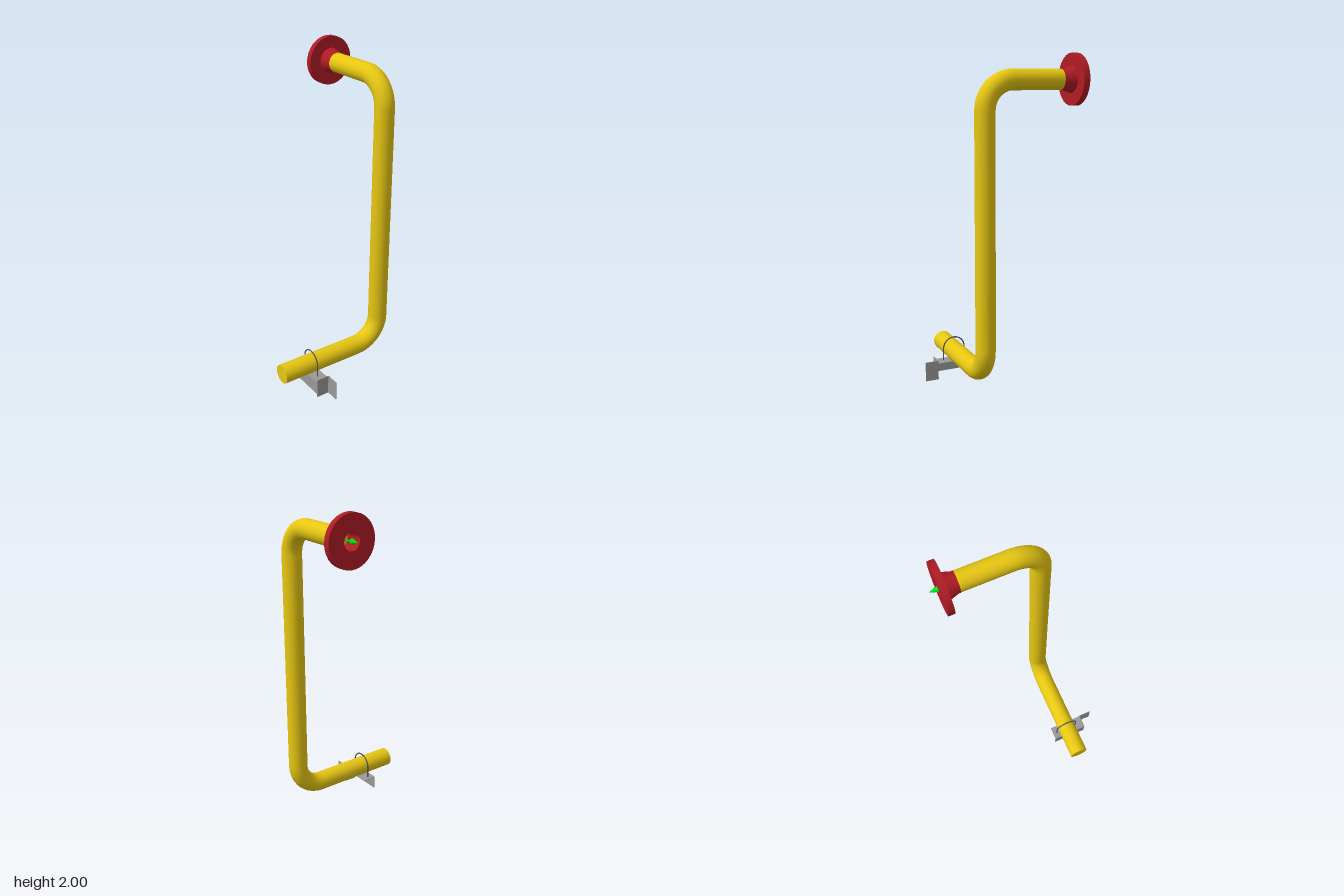
import * as THREE from 'three';
import { toCreasedNormals } from 'three/addons/utils/BufferGeometryUtils.js';

const mat = (color, extra = {}) => new THREE.MeshStandardMaterial({ color, ...extra });

export function createModel() {
  const model = new THREE.Group();
  const yellow = mat(0xe6c612), red = mat(0xb01c24), green = mat(0x00e010);
  const steel = mat(0x999999), darkSteel = mat(0x50555c);

  const add = (name, geometry, material, parent = model) => {
    const mesh = new THREE.Mesh(geometry, material);
    mesh.name = name;
    parent.add(mesh);
    return mesh;
  };

  // Pipe layout: along x, up y, then back along -z
  const r = 0.0585, R = 0.168, SIDES = 24;
  const X = 0.283, Y0 = 0.163, Y1 = 1.855, Z = 0.205;
  const X0 = -0.432, COLLAR = 0.258;

  const pipe = new THREE.Group();
  pipe.name = 'pipe';
  model.add(pipe);

  const straight = (name, from, to) => {
    const a = new THREE.Vector3(...from), b = new THREE.Vector3(...to);
    const mesh = add(name, new THREE.CylinderGeometry(r, r, a.distanceTo(b), SIDES), yellow, pipe);
    mesh.position.copy(a).lerp(b, 0.5);
    mesh.quaternion.setFromUnitVectors(new THREE.Vector3(0, 1, 0), b.sub(a).normalize());
  };
  straight('lowerPipe', [X0, Y0, Z], [X - R, Y0, Z]);
  straight('verticalPipe', [X, Y0 + R, Z], [X, Y1 - R, Z]);
  straight('upperPipe', [X, Y1, Z - R], [X, Y1, -COLLAR]);

  // Quarter-turn elbows
  const elbow = () => new THREE.TorusGeometry(R, r, SIDES, 12, Math.PI / 2);
  add('lowerElbow', elbow().rotateZ(-Math.PI / 2), yellow, pipe).position.set(X - R, Y0 + R, Z);
  add('upperElbow', elbow().rotateY(-Math.PI / 2), yellow, pipe).position.set(X, Y1 - R, Z - R);

  // Weld-neck flange with open bore
  const profile = [
    [0.05, COLLAR], [0.0592, COLLAR], [0.0592, 0.271], [0.076, 0.325],
    [0.147, 0.325], [0.147, 0.362], [0.05, 0.362], [0.05, COLLAR],
  ].map(([x, y]) => new THREE.Vector2(x, y));
  const flange = new THREE.LatheGeometry(profile, 32).rotateX(-Math.PI / 2);
  add('flange', toCreasedNormals(flange, 0.5), red).position.set(X, Y1, 0);

  // Flow direction arrow on the flange axis
  const arrow = new THREE.Group();
  arrow.name = 'flowArrow';
  arrow.position.set(X, Y1, 0);
  model.add(arrow);
  add('arrowHead', new THREE.ConeGeometry(0.017, 0.05, 12).rotateX(-Math.PI / 2), green, arrow).position.z = -0.385;
  add('arrowShaft', new THREE.CylinderGeometry(0.004, 0.004, 0.102, 8).rotateX(Math.PI / 2), green, arrow).position.z = -0.309;

  // Support: two thin angle sections
  const support = new THREE.Group();
  support.name = 'support';
  model.add(support);
  const plate = (name, x0, x1, y0, y1, z0, z1) =>
    add(name, new THREE.BoxGeometry(x1 - x0, y1 - y0, z1 - z0), steel, support)
      .position.set((x0 + x1) / 2, (y0 + y1) / 2, (z0 + z1) / 2);
  const L = -0.262, Rt = -0.178, t = 0.004;
  plate('armTop', L, Rt, 0.104 - t, 0.104, 0.108, 0.326);
  plate('armSide', L, L + t, 0.02, 0.104, 0.108, 0.326);
  plate('postFace', L, Rt, 0, 0.122, 0.326, 0.326 + t);
  plate('postSide', Rt - t, Rt, 0, 0.122, 0.326, 0.41);

  // U-bolt over the lower pipe
  const uBolt = new THREE.Group();
  uBolt.name = 'uBolt';
  uBolt.position.set(-0.223, 0.178, Z);
  model.add(uBolt);
  const boltR = 0.07, rod = 0.004;
  add('uBoltArc', new THREE.TorusGeometry(boltR, rod, 8, 24, Math.PI).rotateY(Math.PI / 2), darkSteel, uBolt);
  for (const side of [-1, 1]) {
    add('uBoltLeg', new THREE.CylinderGeometry(rod, rod, 0.08, 8), darkSteel, uBolt)
      .position.set(0, -0.04, side * boltR);
  }

  return model;
}
